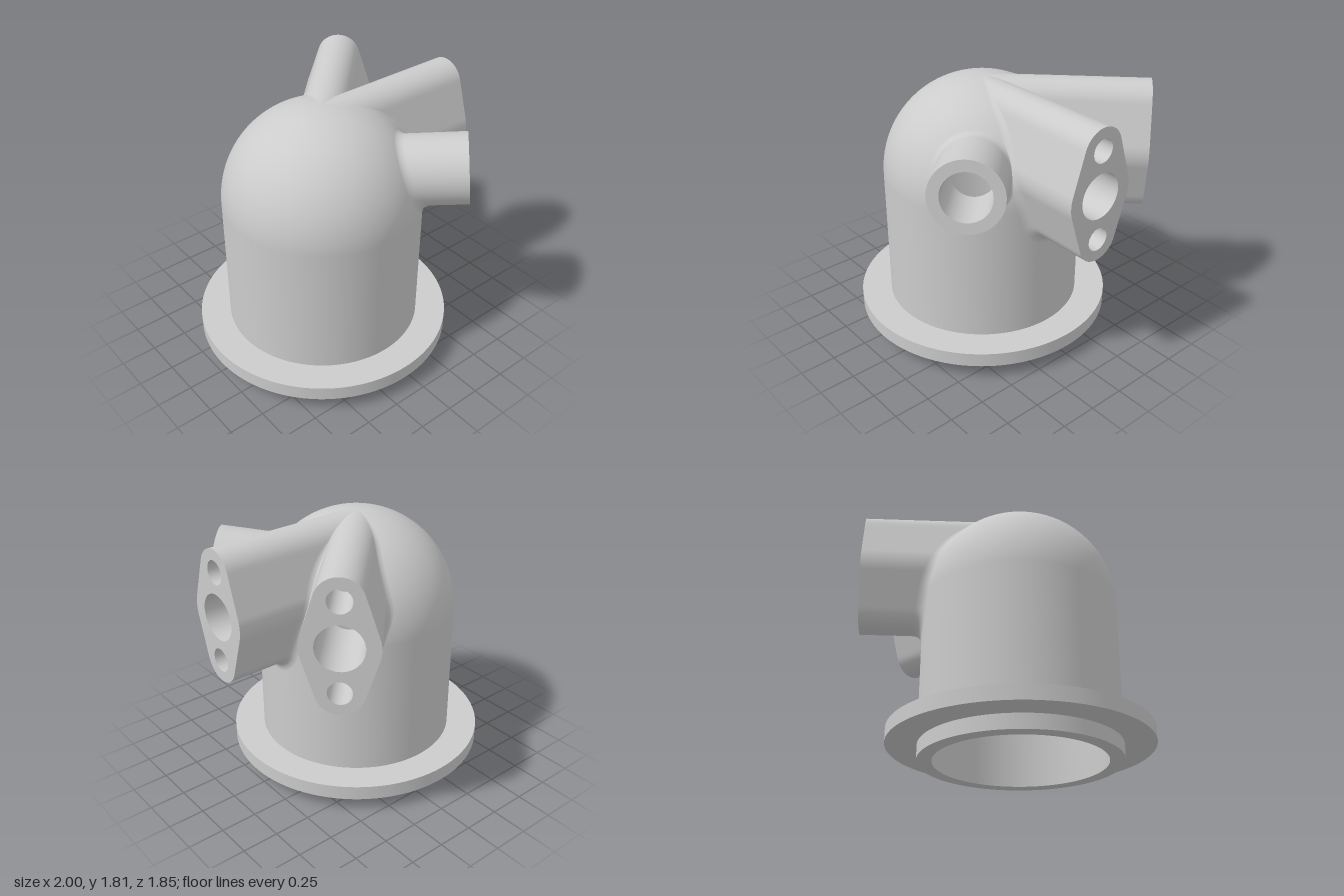
import * as THREE from 'three';
import { toCreasedNormals } from 'three/addons/utils/BufferGeometryUtils.js';

const OUTER = 0.68, INNER = 0.58, DOME_Y = 1.13, FILLET = 0.08;
const V = (x, y, z) => new THREE.Vector3(x, y, z);
const grey = new THREE.MeshStandardMaterial({ color: 0xcccccc });
const greyDouble = new THREE.MeshStandardMaterial({ color: 0xcccccc, side: THREE.DoubleSide });
const greyInside = new THREE.MeshStandardMaterial({ color: 0xcccccc, side: THREE.BackSide });

function part(name, geometry, material = grey) {
  const mesh = new THREE.Mesh(geometry, material);
  mesh.name = name;
  return mesh;
}

// Vector from the core (vertical axis below the dome, dome centre above)
const fromCore = (p) => V(p.x, Math.max(p.y - DOME_Y, 0), p.z);
function ontoCore(p, radius) {
  const d = fromCore(p), base = p.clone().sub(d);
  return base.add(d.setLength(radius));
}

// Branch frame: d runs outward, (w, v) span the cross-section
function makeFrame(angle, tilt, y, length) {
  const d = V(Math.cos(angle) * Math.cos(tilt), Math.sin(tilt), Math.sin(angle) * Math.cos(tilt));
  const w = V(0, 1, 0).cross(d).normalize();
  const v = d.clone().cross(w);
  const origin = V(0, y, 0);
  return {
    d, w, v, origin, length,
    at: (a, b, s) => origin.clone().addScaledVector(w, a).addScaledVector(v, b).addScaledVector(d, s),
    matrix: new THREE.Matrix4().makeBasis(w, v, d).setPosition(origin),
  };
}

// Distance along the branch at which a cross-section point leaves the core
function exitCore(frame, a, b, radius) {
  let lo = 0, hi = frame.length;
  for (let i = 0; i < 30; i++) {
    const mid = (lo + hi) / 2;
    if (fromCore(frame.at(a, b, mid)).length() < radius) lo = mid; else hi = mid;
  }
  return lo;
}

// Closed outline round a chain of circles [x, y, r, startAngle, endAngle]
function outline(arcs, arcSteps, straightSteps) {
  const pts = [];
  const on = ([x, y, r], t) => ({ a: x + r * Math.cos(t), b: y + r * Math.sin(t), t });
  arcs.forEach((arc, k) => {
    for (let i = 0; i <= arcSteps; i++) pts.push(on(arc, arc[3] + (arc[4] - arc[3]) * i / arcSteps));
    const next = arcs[(k + 1) % arcs.length], p = on(arc, arc[4]), q = on(next, next[3]);
    for (let i = 1; i < straightSteps; i++) {
      const f = i / straightSteps;
      pts.push({ a: p.a + (q.a - p.a) * f, b: p.b + (q.b - p.b) * f, t: arc[4] });
    }
  });
  return pts;
}
function circle(r, n = 64, x = 0, y = 0) {
  return Array.from({ length: n }, (_, i) => {
    const t = i / n * Math.PI * 2;
    return { a: x + r * Math.cos(t), b: y + r * Math.sin(t), t };
  });
}

// Skin over closed rings of points
function loft(rings, inward = false) {
  const n = rings[0].length, index = [];
  for (let j = 0; j < rings.length - 1; j++) {
    for (let i = 0; i < n; i++) {
      const a = j * n + i, b = j * n + (i + 1) % n, c = b + n, d = a + n;
      index.push(...(inward ? [a, c, b, a, d, c] : [a, b, c, a, c, d]));
    }
  }
  const g = new THREE.BufferGeometry().setFromPoints(rings.flat());
  g.setIndex(index);
  g.computeVertexNormals();
  return g;
}

// Branch wall, with a rounded fillet where it meets the body
function branchWall(frame, pts) {
  const steps = 8, rings = Array.from({ length: steps + 2 }, () => []);
  for (const { a, b, t } of pts) {
    const s = exitCore(frame, a, b, OUTER), p = frame.at(a, b, s);
    const n = V(0, 0, 0).addScaledVector(frame.w, Math.cos(t)).addScaledVector(frame.v, Math.sin(t));
    const N = fromCore(p).normalize();
    const cos = THREE.MathUtils.clamp(n.dot(N), -0.3, 1);
    const reach = FILLET * Math.tan(Math.acos(cos) / 2);
    const along = n.clone().addScaledVector(N, -n.dot(N)).normalize();
    const foot = ontoCore(p.clone().addScaledVector(along, reach), OUTER - 0.001);
    const curve = new THREE.QuadraticBezierCurve3(foot, p, frame.at(a, b, s + reach));
    for (let k = 0; k <= steps; k++) rings[k].push(curve.getPoint(k / steps));
    rings[steps + 1].push(frame.at(a, b, frame.length));
  }
  return loft(rings);
}

const toPath = (pts) => pts.map((p) => new THREE.Vector2(p.a, p.b));

// Branch with end face, through bore and optional blind bolt holes
function makeBranch(name, frame, pts, bore, bolts = []) {
  const group = new THREE.Group();
  group.name = name;
  group.add(part('branchWall', branchWall(frame, pts)));

  const boreRing = circle(bore);
  const shape = new THREE.Shape(toPath(pts));
  shape.holes.push(new THREE.Path(toPath(boreRing)));
  group.add(part('bore', loft([
    boreRing.map((p) => frame.at(p.a, p.b, exitCore(frame, p.a, p.b, INNER))),
    boreRing.map((p) => frame.at(p.a, p.b, frame.length)),
  ], true)));

  for (const [y, r, depth] of bolts) {
    const ring = circle(r, 40, 0, y), floor = frame.length - depth;
    shape.holes.push(new THREE.Path(toPath(ring)));
    group.add(part('boltHole', loft([
      ring.map((p) => frame.at(p.a, p.b, floor)),
      ring.map((p) => frame.at(p.a, p.b, frame.length)),
    ], true)));
    const disc = new THREE.CircleGeometry(r, 40).translate(0, y, floor);
    group.add(part('boltHoleFloor', disc.applyMatrix4(frame.matrix)));
  }
  const face = new THREE.ShapeGeometry(shape).translate(0, 0, frame.length);
  group.add(part('endFace', face.applyMatrix4(frame.matrix)));
  return group;
}

// Hemisphere with round openings; vertices inside an opening slide to its rim
function openDome(radius, bores, extra) {
  const g = new THREE.SphereGeometry(radius, 160, 48, 0, Math.PI * 2, 0, Math.PI / 2);
  g.translate(0, DOME_Y, 0);
  const pos = g.attributes.position, normal = g.attributes.normal, inside = [];
  const centre = V(0, DOME_Y, 0);
  for (let i = 0; i < pos.count; i++) {
    const p = V(0, 0, 0).fromBufferAttribute(pos, i);
    for (const [frame, bore] of bores) {
      const r = bore + extra, q = p.clone().sub(frame.origin);
      let a = q.dot(frame.w), b = q.dot(frame.v);
      const dist = Math.hypot(a, b);
      if (q.dot(frame.d) < 0 || dist >= r) continue;
      inside[i] = true;
      a *= r / (dist || 1); b *= r / (dist || 1);
      p.copy(frame.at(a, b, exitCore(frame, a, b, radius)));
      pos.setXYZ(i, p.x, p.y, p.z);
      p.sub(centre).normalize();
      normal.setXYZ(i, p.x, p.y, p.z);
      break;
    }
  }
  const old = g.index.array, kept = [];
  for (let i = 0; i < old.length; i += 3) {
    const tri = [old[i], old[i + 1], old[i + 2]];
    if (!tri.every((k) => inside[k])) kept.push(...tri);
  }
  g.setIndex(kept);
  return g;
}

export function createModel() {
  const model = new THREE.Group();
  model.name = 'branchedHousing';
  const body = new THREE.Group();
  body.name = 'housing';
  body.position.set(-0.11, 0, 0.03);
  model.add(body);

  // Hollow barrel with base flange
  const profile = [[INNER, DOME_Y], [INNER, 0], [OUTER, 0], [OUTER, 0.1], [0.89, 0.1],
    [0.89, 0.2], [OUTER, 0.2], [OUTER, DOME_Y]].map(([x, y]) => new THREE.Vector2(x, y));
  body.add(part('barrelAndFlange', toCreasedNormals(new THREE.LatheGeometry(profile, 160), 0.5), greyDouble));

  // Two bolted lobes and one tilted round pipe
  const tilt = THREE.MathUtils.degToRad(6);
  const sideLobe = makeFrame(0, 0, 1.36, 1.11);
  const rearLobe = makeFrame(-Math.PI / 4, 0, 1.36, 1.11);
  const pipe = makeFrame(Math.PI / 4, tilt, 1.31, 0.965);
  const lobeBore = 0.153, pipeBore = 0.162;

  const R = 0.245, r = 0.155, D = 0.3 - 0.005, k = Math.asin((R - r) / D), PI = Math.PI;
  const lobe = outline([[0, 0, R, -k, k], [0, D, r, k, PI - k],
    [0, 0, R, PI - k, PI + k], [0, -D, r, PI + k, 2 * PI - k]], 20, 12);
  const bolts = [[0.3, 0.078, 0.3], [-0.3, 0.078, 0.3]];
  body.add(makeBranch('sideLobe', sideLobe, lobe, lobeBore, bolts));
  body.add(makeBranch('rearLobe', rearLobe, lobe, lobeBore, bolts));
  body.add(makeBranch('frontPipe', pipe, circle(0.238, 80), pipeBore));

  // Dome skins, opened for the bores
  const bores = [[sideLobe, lobeBore], [rearLobe, lobeBore], [pipe, pipeBore]];
  body.add(part('domeOuter', openDome(OUTER, bores, 0.03)));
  body.add(part('domeInner', openDome(INNER, bores, 0), greyInside));
  return model;
}
